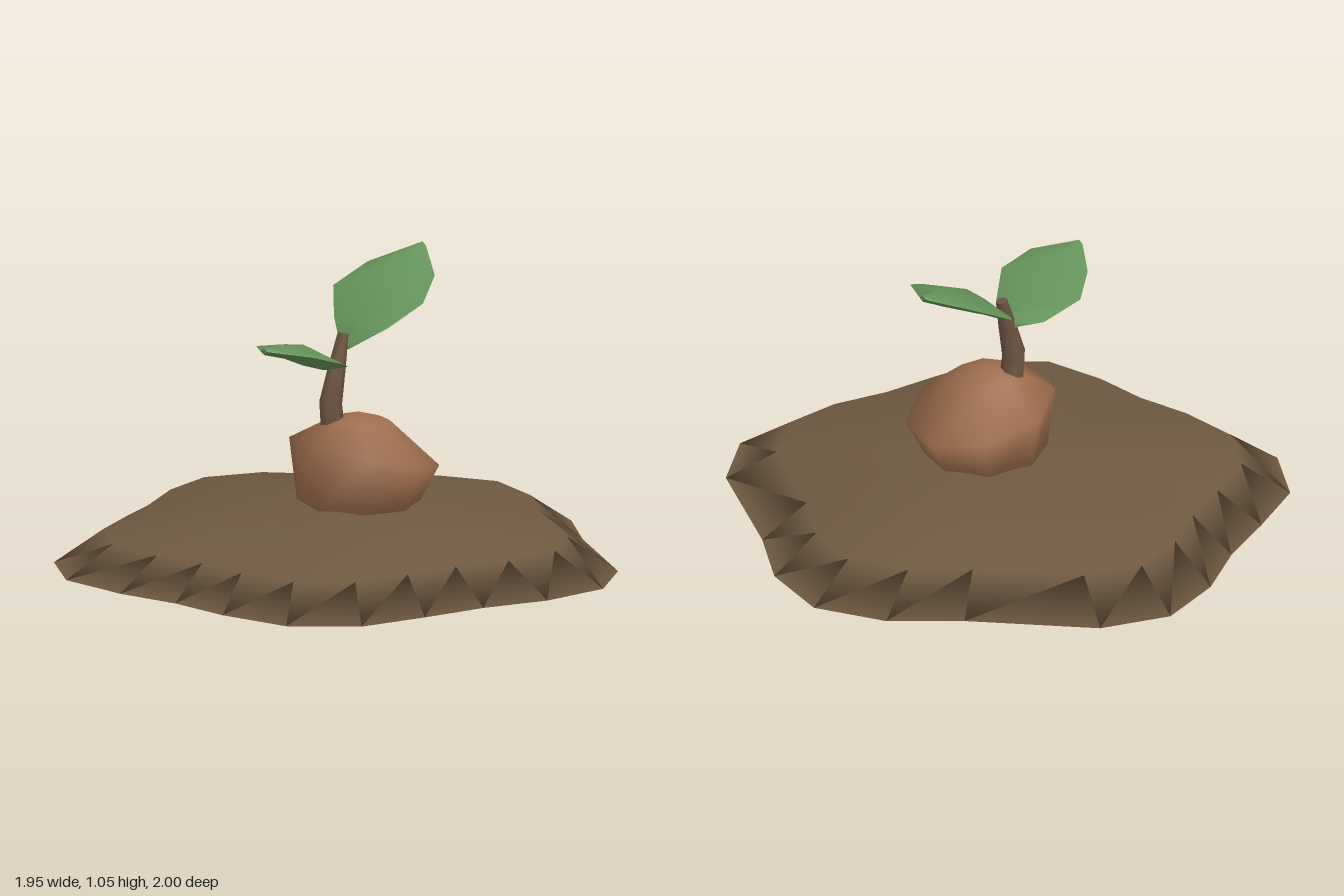
import * as THREE from 'three';
import { toCreasedNormals } from 'three/addons/utils/BufferGeometryUtils.js';

// Closed skin over rings of equal size; each end closes on a centre point.
function loft(rings, start, end) {
  const n = rings[0].length, pos = [...start], idx = [];
  rings.forEach(r => r.forEach(p => pos.push(...p)));
  pos.push(...end);
  const last = rings.length * n + 1;
  const at = (i, j) => 1 + i * n + (j % n);
  for (let j = 0; j < n; j++) {
    idx.push(0, at(0, j), at(0, j + 1));
    for (let i = 0; i < rings.length - 1; i++) {
      idx.push(at(i, j), at(i + 1, j), at(i, j + 1));
      idx.push(at(i, j + 1), at(i + 1, j), at(i + 1, j + 1));
    }
    idx.push(last, at(rings.length - 1, j + 1), at(rings.length - 1, j));
  }
  const g = new THREE.BufferGeometry();
  g.setAttribute('position', new THREE.Float32BufferAttribute(pos, 3));
  g.setIndex(idx);
  g.computeVertexNormals();
  return g;
}

// Ring around a vertical axis; height(x, z) may tilt it.
function ring(cx, cz, rx, rz, height, sides) {
  return Array.from({ length: sides }, (_, j) => {
    const a = (j / sides) * Math.PI * 2;
    const x = cx + rx * Math.cos(a), z = cz + rz * Math.sin(a);
    return [x, height(x, z), z];
  });
}

// Leaf from stations [x, edgeY, backZ, frontZ, topY, bottomY]; dir is the sign of growth along x.
function leafGeometry(stations, dir) {
  const rings = stations.map(([x, y, zb, zf, top, bottom]) => {
    const zm = (zb + zf) / 2;
    const sides = [[x, y, zb], [x, y, zf]];
    if (dir < 0) sides.reverse();
    return [[x, top, zm], sides[0], [x, bottom, zm], sides[1]];
  });
  const centre = ([x, y, zb, zf]) => [x, y, (zb + zf) / 2];
  const g = loft(rings, centre(stations[0]), centre(stations[stations.length - 1]));
  return toCreasedNormals(g, Math.PI / 3);
}

export function createModel() {
  const material = (name, color) => {
    const m = new THREE.MeshStandardMaterial({ color });
    m.name = name;
    return m;
  };
  const soil = material('soil brown', 0x6f5a42);
  const husk = material('seed orange brown', 0xa06e4e);
  const bark = material('stem brown', 0x6c5443);
  const green = material('leaf green', 0x64935a);

  const group = new THREE.Group();
  group.name = 'seedling';
  const add = (name, geometry, mat) => {
    const mesh = new THREE.Mesh(geometry, mat);
    mesh.name = name;
    group.add(mesh);
  };

  // Soil mound: half outline mirrored in z, sloping rim, shallow cone on top
  const half = [
    [0.97, 0], [0.88, 0.26], [0.7, 0.47], [0.43, 0.87], [0.2, 1], [-0.06, 0.965],
    [-0.29, 0.865], [-0.53, 0.8], [-0.78, 0.72], [-0.95, 0.515], [-0.975, 0.24], [-0.955, 0],
  ];
  const outline = [...half, ...half.slice(1, -1).reverse().map(([x, z]) => [x, -z])];
  const base = outline.map(([x, z]) => [x, 0, z]);
  const rim = outline.map(([x, z]) => [x * 0.825 - 0.02, 0.12, z * 0.82]);
  add('soilMound', loft([base, rim], [0, 0, 0], [-0.02, 0.25, 0.02]), soil);

  // Seed: lopsided faceted bulb with a tilted widest ring
  const seed = [
    ring(-0.03, 0.055, 0.22, 0.215, () => 0.205, 8),
    ring(-0.015, 0.068, 0.265, 0.267, (x, z) => 0.39 - 0.225 * (x + 0.015) - 0.07 * (z - 0.068), 8),
    ring(-0.035, 0.06, 0.11, 0.11, x => 0.508 - 0.06 * (x + 0.035), 8),
  ];
  add('seed', loft(seed, [-0.03, 0.205, 0.055], [-0.03, 0.535, 0.055]), husk);

  // Stem: bent, tapering
  const stem = [
    [-0.105, 0.46, 0.046], [-0.12, 0.575, 0.042], [-0.085, 0.7, 0.032], [-0.052, 0.815, 0.02],
  ].map(([x, y, r]) => ring(x, 0, r, r, px => y - 0.25 * (px - x), 7));
  add('stem', toCreasedNormals(loft(stem, [-0.105, 0.46, 0], [-0.052, 0.818, 0]), 1), bark);

  // Leaves
  add('leftLeaf', leafGeometry([
    [-0.045, 0.755, -0.015, 0.015, 0.765, 0.745],
    [0.05, 0.835, -0.13, 0.125, 0.868, 0.802],
    [0.17, 0.91, -0.238, 0.182, 0.962, 0.872],
    [0.3, 0.98, -0.19, 0.125, 1.022, 0.945],
    [0.435, 1.038, -0.065, -0.035, 1.05, 1.026],
  ], 1), green);
  add('rightLeaf', leafGeometry([
    [-0.075, 0.7, -0.015, 0.015, 0.71, 0.69],
    [-0.15, 0.73, -0.115, 0.11, 0.752, 0.698],
    [-0.29, 0.78, -0.163, 0.203, 0.822, 0.745],
    [-0.41, 0.82, -0.095, 0.17, 0.848, 0.795],
    [-0.522, 0.843, 0.025, 0.055, 0.855, 0.83],
  ], -1), green);

  return group;
}
